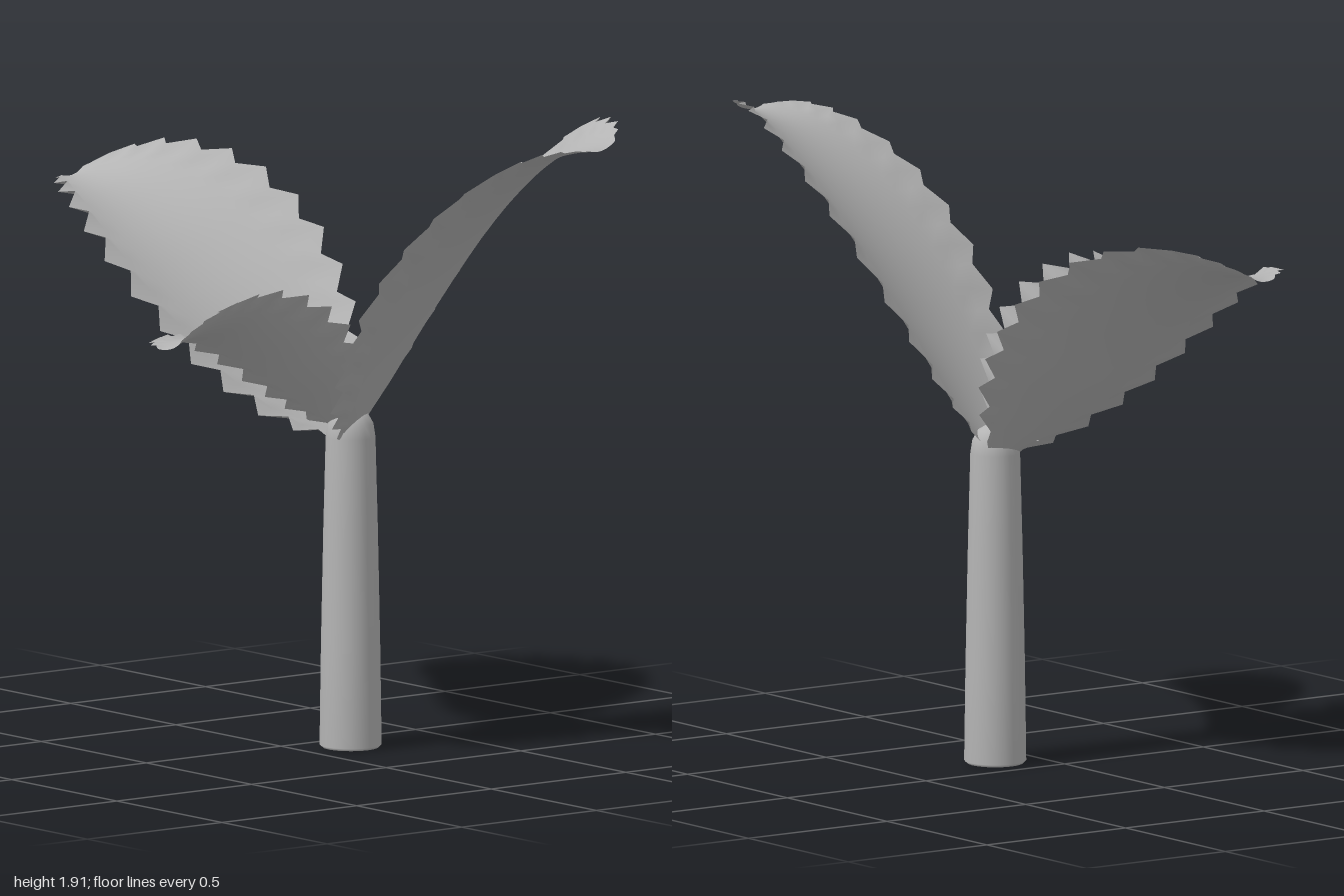
import * as THREE from 'three';

const plantGrey = new THREE.MeshStandardMaterial({ color: 0xb4b4b4, side: THREE.DoubleSide });
plantGrey.name = 'plantGrey';

// Serrated, cupped blade swept along a midrib.
// stations: [x, y, z, halfWidth]; side: horizontal direction of the raised edge;
// roll: rise of that edge per unit width at [base, tip]; cup: how far both edges curl up
function makeLeaf(name, stations, side, roll, teeth, cup) {
  const rib = new THREE.CatmullRomCurve3(stations.map(s => new THREE.Vector3(s[0], s[1], s[2])));
  const widths = new THREE.SplineCurve(stations.map((s, i) => new THREE.Vector2(i, s[3])));
  const rows = teeth * 2, cols = 10;
  const positions = [], index = [];
  let facesUp = true;
  for (let i = 0; i <= rows; i++) {
    const u = i / rows;
    const p = rib.getPoint(u);
    const w = Math.max(widths.getPoint(u).y, 0.005);
    const across = new THREE.Vector3(side[0], THREE.MathUtils.lerp(roll[0], roll[1], u), side[1]);
    const normal = across.clone().cross(rib.getTangent(u)).normalize();
    facesUp = normal.y > 0;
    if (!facesUp) normal.negate();
    for (let j = 0; j <= cols; j++) {
      const v = (j / cols) * 2 - 1;
      let d = v * w * 0.92;
      // alternate rim points stick out to form the teeth, fading at the tip
      if (j === 0 || j === cols) {
        const tooth = Math.min(0.028, w * 0.15) * Math.min(1, 0.1 + (1 - u) * 4);
        d += Math.sign(v) * (i % 2 ? tooth : -tooth);
      }
      const q = p.clone().addScaledVector(across, d).addScaledVector(normal, cup * w * (v * v - 0.45));
      positions.push(q.x, q.y, q.z);
    }
  }
  // wind the faces so that the front side looks up
  for (let i = 0; i < rows; i++) {
    for (let j = 0; j < cols; j++) {
      const a = i * (cols + 1) + j, b = a + 1, c = a + cols + 1, d = c + 1;
      if (facesUp) index.push(a, b, c, b, d, c);
      else index.push(a, c, b, b, c, d);
    }
  }
  const geometry = new THREE.BufferGeometry();
  geometry.setAttribute('position', new THREE.Float32BufferAttribute(positions, 3));
  geometry.setIndex(index);
  geometry.computeVertexNormals();
  const mesh = new THREE.Mesh(geometry, plantGrey);
  mesh.name = name;
  return mesh;
}

export function createModel() {
  const group = new THREE.Group();
  group.name = 'plant';

  // Tapered stem with a domed top
  const profile = [
    [0, 0], [0.082, 0], [0.091, 0.008], [0.087, 0.3], [0.08, 0.65], [0.073, 0.92],
    [0.067, 0.96], [0.051, 0.989], [0.026, 1.004], [0, 1.01],
  ].map(([r, y]) => new THREE.Vector2(r, y));
  const stem = new THREE.Mesh(new THREE.LatheGeometry(profile, 20), plantGrey);
  stem.name = 'stem';
  stem.position.set(0.135, 0, -0.153);
  group.add(stem);

  // Long leaf reaching out to -x
  group.add(makeLeaf('longLeaf', [
    [0.11, 0.91, -0.17, 0.03], [0.0, 1.02, -0.14, 0.18], [-0.17, 1.175, -0.11, 0.3],
    [-0.37, 1.35, -0.08, 0.355], [-0.6, 1.505, -0.05, 0.33], [-0.8, 1.585, -0.03, 0.24],
    [-0.93, 1.59, -0.01, 0.14], [-0.99, 1.575, 0, 0.05],
  ], [-0.15, -0.99], [0.42, 0.18], 14, 0.23));

  // Tall leaf rising to +x and back
  group.add(makeLeaf('tallLeaf', [
    [0.14, 0.93, -0.16, 0.07], [0.2, 1.05, -0.18, 0.18], [0.32, 1.26, -0.21, 0.285],
    [0.49, 1.515, -0.26, 0.35], [0.67, 1.715, -0.32, 0.335], [0.84, 1.835, -0.37, 0.25],
    [0.94, 1.862, -0.4, 0.17], [0.99, 1.855, -0.42, 0.07],
  ], [-0.3, -0.955], [0.38, 0.1], 15, 0.18));

  // Short leaf leaning to the front
  group.add(makeLeaf('shortLeaf', [
    [0.135, 0.935, -0.15, 0.03], [0.155, 1.035, -0.07, 0.13], [0.175, 1.125, 0.03, 0.185],
    [0.19, 1.235, 0.18, 0.215], [0.2, 1.305, 0.34, 0.205], [0.23, 1.315, 0.48, 0.165],
    [0.255, 1.3, 0.57, 0.115], [0.275, 1.28, 0.62, 0.05],
  ], [0.98, -0.18], [0.55, 0.4], 13, 0.27));

  return group;
}
